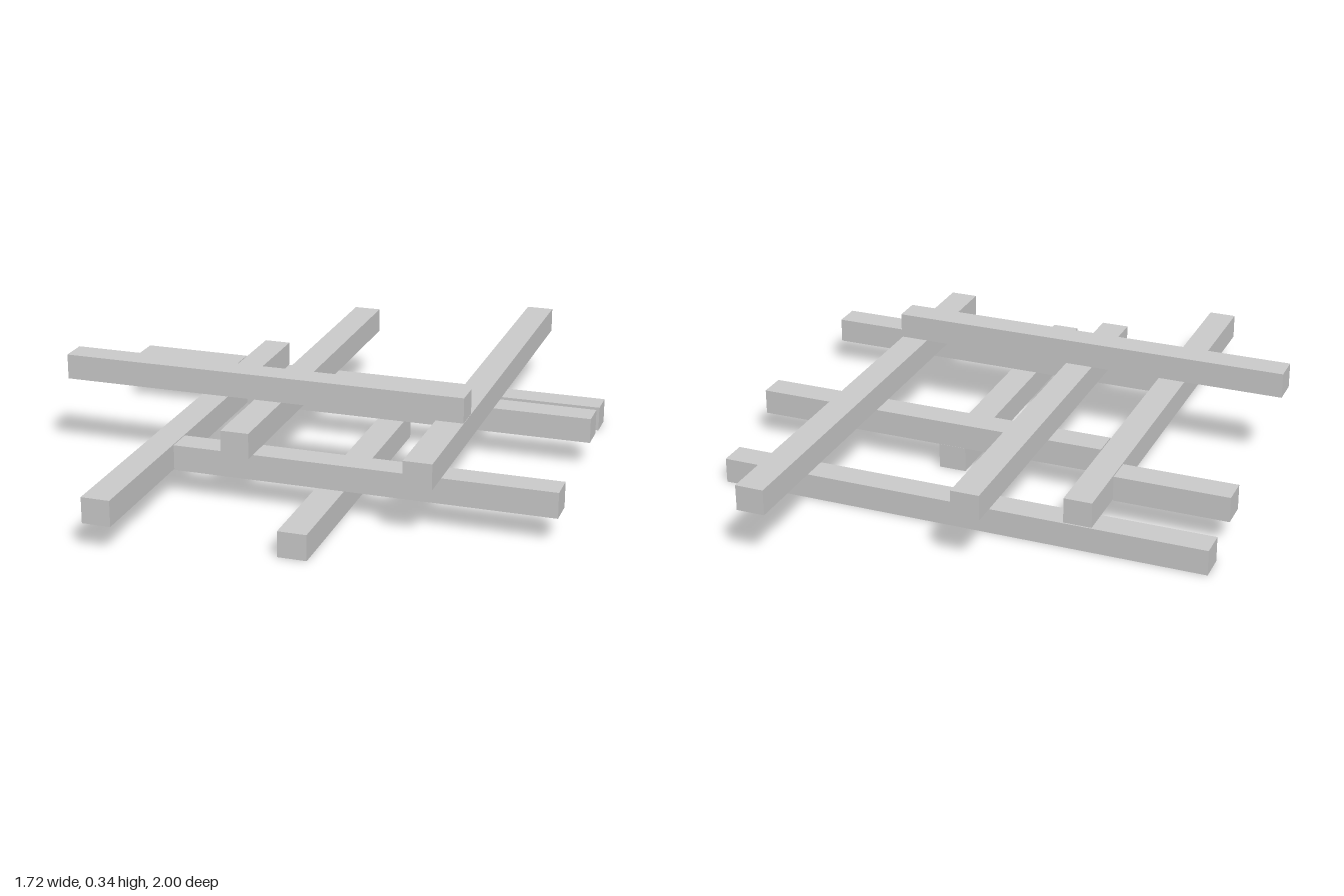
import * as THREE from 'three';

const THICK = 0.0835; // beam height
const PITCH = 0.0865; // layer spacing, leaving a hairline gap

// Each beam: name, layer, x range, z range
const BEAMS = [
  // ground layer
  ['groundCrossBeam', 0, -0.845, 0.785, -0.565, -0.473],
  ['groundLongBeam', 0, 0.091, 0.183, -0.21, 0.867],
  // second layer
  ['secondLongBeam', 1, -0.476, -0.384, -0.565, 1.0],
  ['secondFrontCrossBeam', 1, -0.381, 0.857, 0.432, 0.524],
  ['secondBackCrossBeam', 1, -0.381, 0.822, -0.215, -0.123],
  ['secondShortStub', 1, -0.855, -0.479, -0.376, -0.284],
  // third layer
  ['thirdRightLongBeam', 2, -0.203, -0.111, -0.795, 0.568],
  ['thirdLeftLongBeam', 2, 0.404, 0.496, -1.0, 0.632],
  // top layer
  ['topCrossBeam', 3, -0.86, 0.497, 0.187, 0.279],
];

export function createModel() {
  const group = new THREE.Group();
  group.name = 'stackedBeams';
  const material = new THREE.MeshStandardMaterial({ color: 0xcccccc });

  for (const [name, layer, x0, x1, z0, z1] of BEAMS) {
    const beam = new THREE.Mesh(new THREE.BoxGeometry(x1 - x0, THICK, z1 - z0), material);
    beam.name = name;
    beam.position.set((x0 + x1) / 2, layer * PITCH + THICK / 2, (z0 + z1) / 2);
    group.add(beam);
  }
  return group;
}
